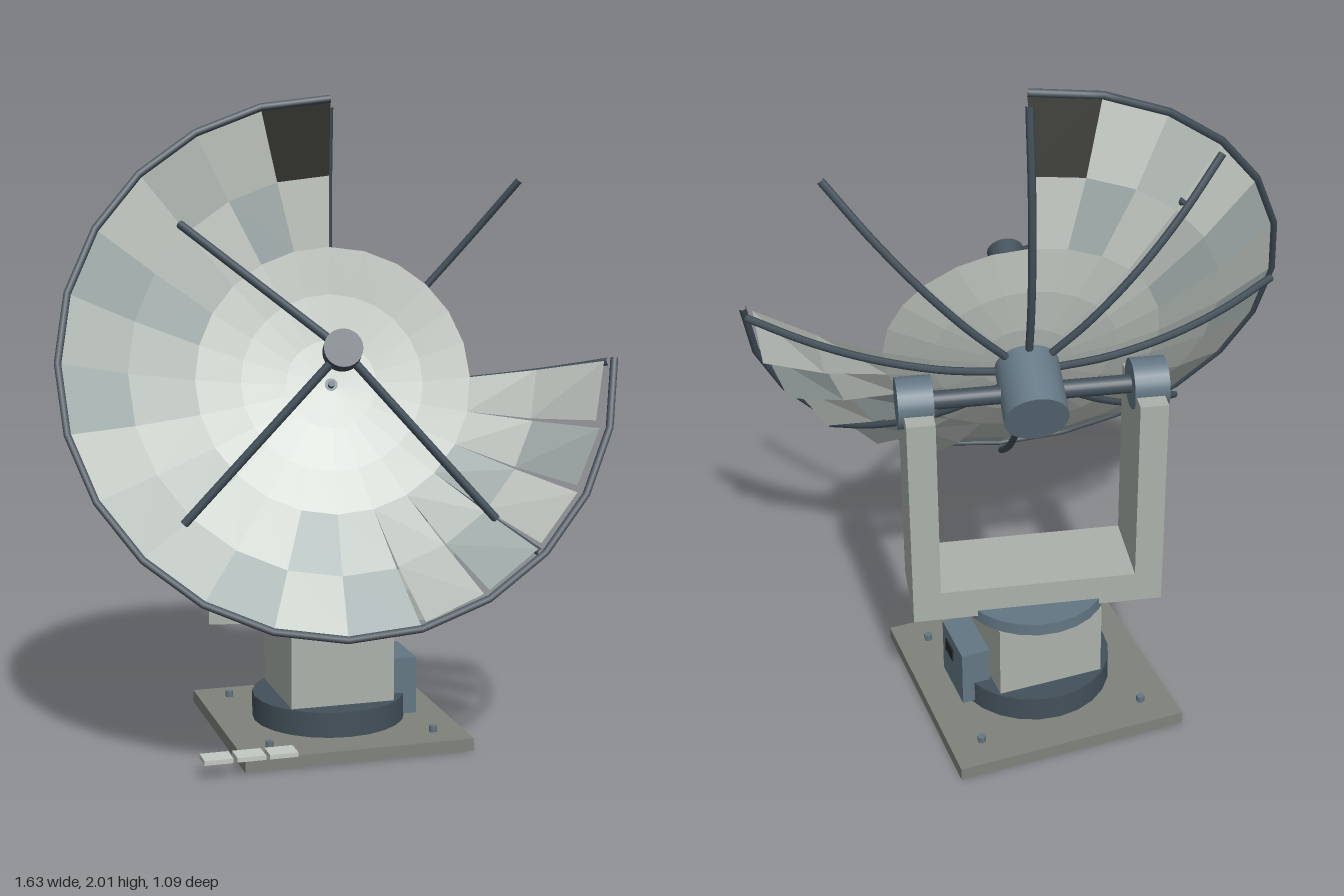
import * as THREE from 'three';
import { mergeGeometries } from 'three/addons/utils/BufferGeometryUtils.js';

const R = 0.82, DEPTH = 0.29, PETALS = 24, STEP = Math.PI * 2 / PETALS;
const YAW = -0.2, PITCH = -0.385;
const mat = (color, extra = {}) => new THREE.MeshStandardMaterial({ color, ...extra });

export function createModel() {
  const model = new THREE.Group();
  const concrete = mat(0x7f827b), paint = mat(0xabb2aa), steel = mat(0x647784);
  const dark = mat(0x43505a), black = mat(0x23292d), plate = mat(0xc2c8c2);

  const add = (parent, name, geo, material, x = 0, y = 0, z = 0) => {
    const m = new THREE.Mesh(geo, material);
    m.name = name;
    m.position.set(x, y, z);
    parent.add(m);
    return m;
  };
  const box = (parent, name, size, material, ...pos) =>
    add(parent, name, new THREE.BoxGeometry(...size), material, ...pos);
  const cyl = (parent, name, r, h, material, ...pos) =>
    add(parent, name, new THREE.CylinderGeometry(r, r, h, 24), material, ...pos);
  const rod = (parent, name, a, b, r, material) => {
    const m = cyl(parent, name, r, a.distanceTo(b), material);
    m.position.copy(a).add(b).multiplyScalar(0.5);
    m.quaternion.setFromUnitVectors(new THREE.Vector3(0, 1, 0), b.clone().sub(a).normalize());
    return m;
  };

  // Fixed base, centred on the turning axis
  const base = new THREE.Group();
  base.name = 'base';
  base.position.set(0.067, 0, -0.175);
  model.add(base);
  box(base, 'baseSlab', [0.73, 0.04, 0.73], concrete, 0, 0.02, 0);
  cyl(base, 'baseRing', 0.245, 0.08, dark, 0, 0.08, 0);
  box(base, 'pedestal', [0.335, 0.24, 0.335], paint, 0, 0.24, 0);
  cyl(base, 'turntable', 0.23, 0.04, steel, 0, 0.38, 0);
  for (const sx of [-1, 1]) for (const sz of [-1, 1])
    add(base, 'anchorBolt', new THREE.CylinderGeometry(0.013, 0.013, 0.02, 6), steel, sx * 0.265, 0.05, sz * 0.265);
  box(base, 'controlBox', [0.09, 0.185, 0.19], steel, 0.22, 0.143, 0.005);
  box(base, 'controlScreen', [0.006, 0.042, 0.066], black, 0.267, 0.176, 0.028);

  // Loose panels lying beside the slab
  for (let i = 0; i < 3; i++)
    box(model, 'loosePanel', [0.088, 0.014, 0.07], plate, -0.388 + i * 0.1, 0.057, 0.195);

  // Turning yoke with bearings
  const yoke = new THREE.Group();
  yoke.name = 'yoke';
  yoke.position.copy(base.position);
  yoke.rotation.y = YAW;
  model.add(yoke);
  box(yoke, 'yokeBeam', [0.61, 0.1, 0.26], paint, 0, 0.43, 0);
  for (const s of [-1, 1]) {
    box(yoke, 'yokeArm', [0.085, 0.7, 0.26], paint, s * 0.342, 0.73, 0);
    cyl(yoke, 'bearing', 0.077, 0.105, steel, s * 0.348, 1.085, 0).rotation.z = Math.PI / 2;
  }
  cyl(yoke, 'axle', 0.028, 0.62, dark, 0, 1.085, 0).rotation.z = Math.PI / 2;

  // Tilting dish assembly: local +z is the pointing direction
  const dish = new THREE.Group();
  dish.name = 'dishAssembly';
  dish.position.set(0.067, 1.085, -0.175);
  dish.rotation.set(PITCH, YAW, 0, 'YXZ');
  model.add(dish);
  const onDish = (r, a, dz = 0) =>
    new THREE.Vector3(r * Math.cos(a), r * Math.sin(a), 0.115 + DEPTH * (r / R) ** 2 + dz);

  cyl(dish, 'hub', 0.097, 0.2, steel).rotation.x = Math.PI / 2;

  // Reflector panels, grouped by shade
  const shades = [0xc6ccc6, 0xb9c0bb, 0xa7b2b1, 0x33342f];
  const names = ['palePanels', 'greyPanels', 'bluePanels', 'burntPanel'];
  const sets = shades.map(() => []);
  const quad = (a, b, c, d) => {
    const g = new THREE.BufferGeometry();
    g.setAttribute('position', new THREE.Float32BufferAttribute(
      [a, b, c, a, c, d].flatMap(p => p.toArray()), 3));
    g.computeVertexNormals();
    return g;
  };
  const panel = (shade, r0, r1, a0, a1, twist = 0) => {
    // a loose petal swings one edge back and narrows toward its tip
    const at = (r, a, low) => {
      const t = twist * Math.max(0, (r - 0.42) / 0.4);
      return onDish(r * (1 - 0.035 * t), a + (low ? 0.045 * t : -0.008 * t), low ? -0.065 * t : 0.01 * t);
    };
    sets[shade].push(quad(at(r0, a0, true), at(r1, a0, true), at(r1, a1, false), at(r0, a1, false)));
  };
  let seed = 7;
  const rand = () => (seed = (seed * 16807) % 2147483647) / 2147483647;
  const pick = () => { const v = rand(); return v < 0.5 ? 0 : v < 0.75 ? 1 : 2; };
  for (let i = 0; i < PETALS; i++) {
    const a0 = Math.PI / 2 + i * STEP, a1 = a0 + STEP;
    for (const [r0, r1] of [[0.02, 0.14], [0.14, 0.28], [0.28, 0.42]]) panel(0, r0, r1, a0, a1);
    if (i >= 18) continue; // the missing quarter
    const twist = i >= 13 ? 0.7 + 0.3 * ((i - 13) / 4) : 0;
    panel(pick(), 0.42, 0.62, a0, a1, twist);
    panel(i === 0 ? 3 : pick(), 0.62, R, a0, a1, twist);
  }
  sets.forEach((set, i) => add(dish, names[i], mergeGeometries(set),
    mat(shades[i], { side: THREE.DoubleSide, flatShading: true })));

  // Faceted rim along the remaining three quarters
  const rimPath = new THREE.CurvePath();
  for (let i = 0; i < 18; i++) {
    const a = Math.PI / 2 + i * STEP;
    rimPath.add(new THREE.LineCurve3(onDish(R, a), onDish(R, a + STEP)));
  }
  add(dish, 'rim', new THREE.TubeGeometry(rimPath, 72, 0.012, 6), dark);

  // Curved ribs behind the reflector, one left bare in the gap
  for (let i = 0; i < 8; i++) {
    const a = i * Math.PI / 4;
    const pts = [0.07, 0.25, 0.45, 0.63, 0.81].map(r => onDish(r, a, -0.035));
    add(dish, 'rib', new THREE.TubeGeometry(new THREE.CatmullRomCurve3(pts), 16, 0.012, 6), dark);
  }

  // Feed held by three struts
  cyl(dish, 'feed', 0.057, 0.055, dark, 0, 0, 0.525).rotation.x = Math.PI / 2;
  cyl(dish, 'feedPin', 0.01, 0.02, dark, 0, 0, 0.118).rotation.x = Math.PI / 2;
  for (const k of [3, 5, 7]) {
    const a = k * Math.PI / 4;
    rod(dish, 'feedStrut', onDish(0.65, a), new THREE.Vector3(0.03 * Math.cos(a), 0.03 * Math.sin(a), 0.52), 0.013, dark);
  }
  return model;
}
